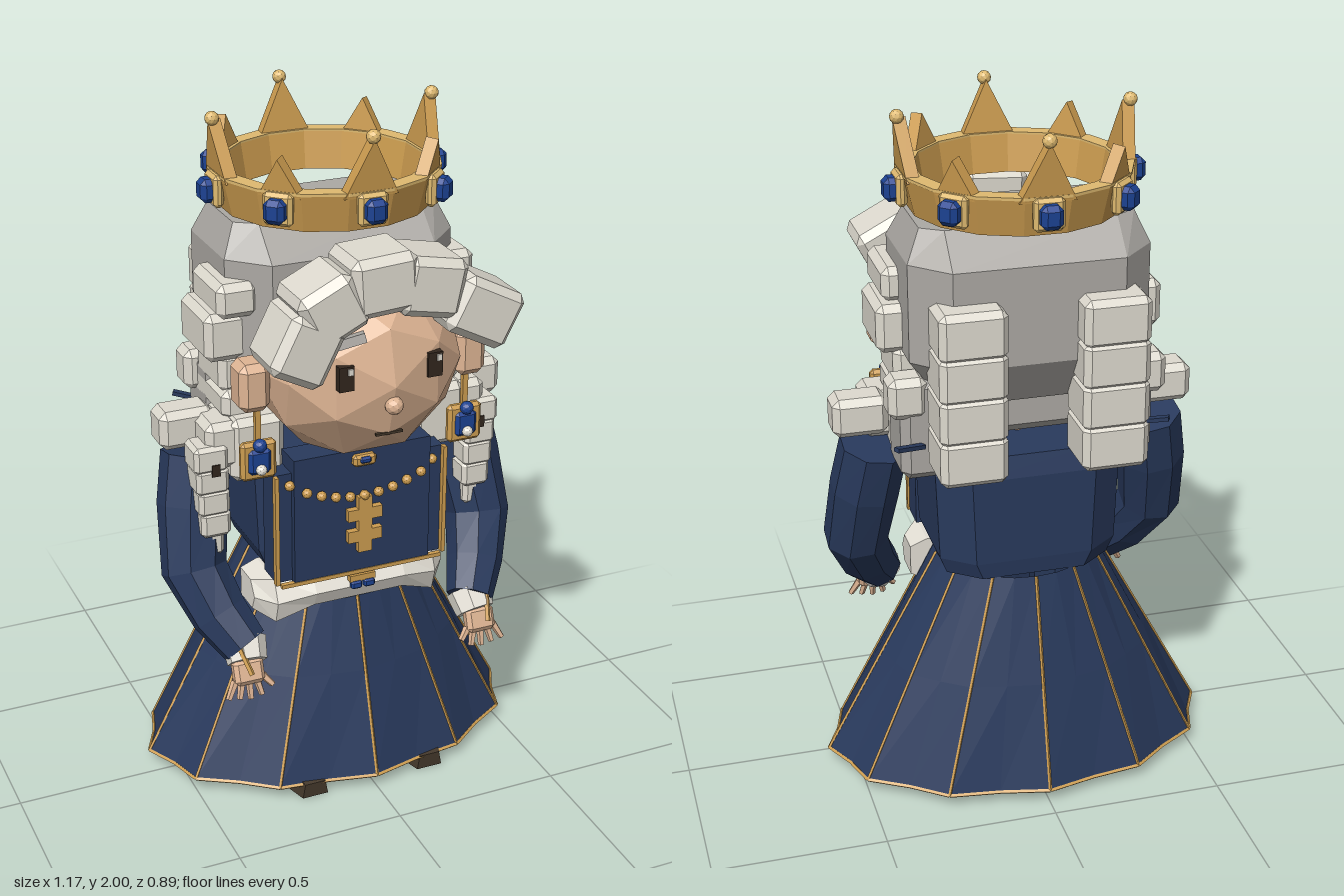
import * as THREE from 'three';
import { ConvexGeometry } from 'three/addons/geometries/ConvexGeometry.js';

const V = (x, y, z) => new THREE.Vector3(x, y, z);

function material(name, color, side = THREE.FrontSide) {
  const m = new THREE.MeshStandardMaterial({ color, flatShading: true, side });
  m.name = name;
  return m;
}

// Surface through equal-sized loops, ordered along their direction of travel
function loft(rings, caps = true) {
  const n = rings[0].length, pos = [], idx = [];
  rings.forEach(r => r.forEach(p => pos.push(p.x, p.y, p.z)));
  for (let i = 0; i < rings.length - 1; i++) for (let j = 0; j < n; j++) {
    const a = i * n + j, b = i * n + (j + 1) % n;
    idx.push(a, b, b + n, a, b + n, a + n);
  }
  if (caps) for (let j = 1; j < n - 1; j++) {
    const e = (rings.length - 1) * n;
    idx.push(0, j + 1, j, e, e + j, e + j + 1);
  }
  const g = new THREE.BufferGeometry();
  g.setAttribute('position', new THREE.Float32BufferAttribute(pos, 3));
  g.setIndex(idx);
  g.computeVertexNormals();
  return g;
}

// Faceted limb: points are [x, y, z, radius], listed upward
function limb(points, sides = 8) {
  const c = points.map(p => V(p[0], p[1], p[2]));
  return loft(points.map((p, i) => {
    const t = c[Math.min(i + 1, c.length - 1)].clone().sub(c[Math.max(i - 1, 0)]).normalize();
    const q = new THREE.Quaternion().setFromUnitVectors(V(0, 1, 0), t);
    return Array.from({ length: sides }, (_, j) => {
      const a = (j + 0.5) / sides * Math.PI * 2;
      return V(Math.sin(a) * p[3], 0, Math.cos(a) * p[3]).applyQuaternion(q).add(c[i]);
    });
  }));
}

// Box with chamfered edges and corners
function chamferBox(w, h, d, r) {
  const pts = [];
  for (const sx of [-1, 1]) for (const sy of [-1, 1]) for (const sz of [-1, 1]) {
    const x = w / 2, y = h / 2, z = d / 2;
    pts.push(V(sx * x, sy * (y - r), sz * (z - r)), V(sx * (x - r), sy * y, sz * (z - r)),
      V(sx * (x - r), sy * (y - r), sz * z));
  }
  return new ConvexGeometry(pts);
}

// Horizontal eight-sided loop with cut corners
const cutRect = (y, w, front, back, cx, cz) => [[w - cx, front], [w, front - cz], [w, back + cz],
  [w - cx, back], [cx - w, back], [-w, back + cz], [-w, front - cz], [cx - w, front]].map(([x, z]) => V(x, y, z));

export function createModel() {
  const model = new THREE.Group();
  const navy = material('navy cloth', 0x293a5d, THREE.DoubleSide);
  const gold = material('gold', 0xcd9d50);
  const paleGold = material('pale gold', 0xdfba70);
  const hair = material('pale hair', 0xdedacf);
  const grey = material('grey hair', 0xaca9a4);
  const skin = material('skin', 0xdfb594);
  const blue = material('blue gem', 0x1c4292);
  const white = material('white linen', 0xe4e0d6, THREE.DoubleSide);
  const brown = material('brown leather', 0x43372a);
  const dark = material('dark eye', 0x32261d);

  const add = (name, geo, mat, x = 0, y = 0, z = 0, parent = model) => {
    const m = new THREE.Mesh(geo, mat);
    m.name = name;
    m.position.set(x, y, z);
    parent.add(m);
    return m;
  };
  const box = (name, mat, w, h, d, x, y, z, parent) =>
    add(name, new THREE.BoxGeometry(w, h, d), mat, x, y, z, parent);
  const block = (name, mat, w, h, d, x, y, z, r = 0.02, parent) =>
    add(name, chamferBox(w, h, d, r), mat, x, y, z, parent);
  const ball = (name, mat, r, x, y, z, parent) =>
    add(name, new THREE.IcosahedronGeometry(r, 1), mat, x, y, z, parent);
  const rod = (name, mat, a, b, r) =>
    add(name, new THREE.TubeGeometry(new THREE.LineCurve3(a, b), 1, r, 4), mat);

  // Skirt with twelve ribs, the cloth dipping in between
  const skirtPoint = (k, t) => {
    const a = k / 24 * Math.PI * 2, f = k % 2 ? 1 - 0.05 * (1 - t) : 1;
    return V(Math.sin(a) * (0.58 - 0.34 * t) * f, 0.04 + 0.63 * t,
      -0.052 - 0.01 * t + Math.cos(a) * (0.392 - 0.17 * t) * f);
  };
  const ring = t => Array.from({ length: 24 }, (_, k) => skirtPoint(k, t));
  add('skirt', loft([0, 0.5, 1].map(ring), false), navy);
  for (let k = 0; k < 24; k++) {
    if (k % 2 === 0) rod('skirtRib', gold, skirtPoint(k, 0), skirtPoint(k, 1), 0.005);
    rod('skirtHem', gold, skirtPoint(k, 0), skirtPoint(k + 1, 0), 0.006);
  }

  // Torso and front panel
  add('torso', loft([[0.67, 0.24, -0.26], [0.72, 0.26, -0.265], [0.98, 0.27, -0.265], [1.045, 0.25, -0.25]]
    .map(([y, w, back]) => cutRect(y, w, 0.14, back, 0.09, 0.07))), navy);
  box('bodicePanel', navy, 0.42, 0.39, 0.09, 0, 0.87, 0.175);
  box('bodiceHem', gold, 0.5, 0.012, 0.015, 0, 0.675, 0.215);
  add('neck', new THREE.CylinderGeometry(0.1, 0.12, 0.2, 8), skin, 0, 1.07, 0.02);

  // Drooping sash with a jewelled clasp
  const sash = [[-0.3, 0.65, 0.56, 0.13], [-0.25, 0.67, 0.535, 0.19], [-0.14, 0.67, 0.58, 0.215],
    [0.14, 0.67, 0.58, 0.215], [0.25, 0.67, 0.535, 0.19], [0.3, 0.65, 0.56, 0.13]];
  add('sash', loft(sash.map(([x, top, low, z]) =>
    [V(x, low, 0.02), V(x, top, 0.02), V(x, top, z - 0.03), V(x, (top + low) / 2, z), V(x, low, z - 0.02)])), white);
  box('sashClasp', gold, 0.08, 0.02, 0.02, 0, 0.655, 0.215);
  for (const s of [-1, 1]) {
    box('bodiceSide', navy, 0.05, 0.34, 0.09, s * 0.235, 0.85, 0.155);
    box('bodiceTrim', gold, 0.012, 0.34, 0.02, s * 0.26, 0.85, 0.208);
    block('sashGem', blue, 0.034, 0.024, 0.02, s * 0.02, 0.635, 0.222, 0.005);
  }

  // Cross pendant, necklace and collar brooch
  box('crossStem', gold, 0.042, 0.175, 0.02, 0, 0.835, 0.23);
  for (const y of [0.8, 0.868]) box('crossArm', gold, 0.105, 0.036, 0.02, 0, y, 0.23);
  for (let i = -5; i <= 5; i++)
    ball('necklaceBead', gold, 0.015, i * 0.044, 0.925 + 0.0025 * i * i, 0.232 - Math.max(0, Math.abs(i) - 4) * 0.02);
  block('collarBrooch', gold, 0.07, 0.035, 0.03, 0, 1.035, 0.225, 0.008);
  block('broochGem', blue, 0.036, 0.02, 0.03, 0, 1.038, 0.23, 0.006);

  // Face
  const face = add('face', new THREE.IcosahedronGeometry(1, 1), skin, 0, 1.335, 0.16);
  face.scale.set(0.3, 0.29, 0.268);
  ball('nose', skin, 0.026, 0, 1.28, 0.418);
  box('mouth', brown, 0.08, 0.007, 0.009, 0, 1.187, 0.387);
  box('eyebrow', grey, 0.13, 0.026, 0.05, -0.13, 1.46, 0.362).rotation.set(-0.2, -0.3, 0.2);
  for (const s of [-1, 1]) {
    box('eye', dark, 0.043, 0.07, 0.03, s * 0.13, 1.37, 0.385);
    box('eyeGlint', white, 0.014, 0.018, 0.006, s * 0.13 + 0.01, 1.39, 0.402);
    block('ear', skin, 0.09, 0.14, 0.1, s * 0.325, 1.31, 0.195, 0.02);
    // Earring
    box('earringChain', gold, 0.016, 0.11, 0.016, s * 0.315, 1.19, 0.215);
    block('earringPlate', gold, 0.105, 0.115, 0.03, s * 0.315, 1.09, 0.215, 0.01);
    block('earringGem', blue, 0.066, 0.075, 0.03, s * 0.315, 1.09, 0.225, 0.01);
    ball('earringPearl', white, 0.016, s * 0.315, 1.07, 0.243);
    ball('earringTopGem', blue, 0.02, s * 0.315, 1.14, 0.235);
  }

  // Hair cap and nape
  add('hairCap', loft([cutRect(1.2, 0.24, 0.06, -0.22, 0.08, 0.06), cutRect(1.34, 0.34, 0.155, -0.31, 0.1, 0.1),
    cutRect(1.62, 0.34, 0.155, -0.31, 0.1, 0.1), cutRect(1.71, 0.3, 0.06, -0.22, 0.06, 0.04)]), grey);
  block('napeHair', grey, 0.34, 0.2, 0.16, 0, 1.18, -0.11, 0.03);

  // Curls across the brow
  for (const [x, y, w, tilt] of [[-0.25, 1.475, 0.18, 1.1], [-0.175, 1.575, 0.17, 0.45],
    [-0.03, 1.627, 0.19, 0.06], [0.11, 1.6, 0.18, -0.2], [0.265, 1.505, 0.2, -0.48]])
    block('browCurl', hair, w, 0.165, 0.19, x, y, 0.345, 0.022).rotation.z = tilt;

  // Side curls, back curls and shoulder ringlets
  const sideCurls = [[0.325, 1.52, 0.015, 0.12, 0.1, 0.22], [0.345, 1.405, -0.02, 0.13, 0.14, 0.22],
    [0.305, 1.29, -0.03, 0.12, 0.12, 0.2], [0.3, 1.2, -0.03, 0.13, 0.09, 0.24],
    [0.28, 1.08, 0.03, 0.16, 0.19, 0.22], [0.45, 1.125, -0.02, 0.16, 0.115, 0.11],
    [0.38, 1.1, 0.06, 0.1, 0.14, 0.14], [0.345, 1.23, -0.17, 0.11, 0.12, 0.1]];
  for (const s of [-1, 1]) {
    for (const [x, y, z, w, h, d] of sideCurls) block('sideCurl', hair, w, h, d, s * x, y, z, 0.02);
    block('napeSide', grey, 0.15, 0.3, 0.18, s * 0.29, 1.13, -0.12, 0.024);
    for (let i = 0; i < 4; i++)
      block('backCurl', hair, 0.19, 0.14, 0.175, s * 0.2, 1.46 - i * 0.121, -0.297, 0.018);
    for (let i = 0; i < 5; i++) {
      const w = i < 4 ? 0.1 - i * 0.004 : 0.05;
      block('ringlet', hair, w, 0.08, w, s * (0.42 - i * 0.004), 1.07 - i * 0.068, 0.09, 0.012);
    }
    box('ringletClip', dark, 0.024, 0.035, 0.008, s * 0.41, 1.04, 0.14);
    box('hairRibbon', navy, 0.1, 0.012, 0.02, s * 0.35, 1.1, -0.24).rotation.set(0, s * 0.5, s * 0.2);
  }

  // Arms, hands, legs and shoes
  for (const s of [-1, 1]) {
    add('sleeve', limb([[s * 0.36, 0.5, 0.205, 0.07], [s * 0.41, 0.58, 0.135, 0.084],
      [s * 0.455, 0.7, 0.055, 0.096], [s * 0.435, 0.88, 0, 0.102], [s * 0.41, 1.025, -0.03, 0.1]]), navy);
    add('cuff', limb([[s * 0.365, 0.465, 0.235, 0.058], [s * 0.36, 0.515, 0.19, 0.066]]), white);
    rod('sleeveTrim', gold, V(s * 0.375, 0.46, 0.3), V(s * 0.43, 0.66, 0.15), 0.008);
    block('palm', skin, 0.09, 0.075, 0.045, s * 0.37, 0.445, 0.25, 0.012).rotation.x = -0.35;
    for (let i = -2; i <= 2; i++) {
      const x = 0.37 + i * 0.021, low = i === -2 ? 0.395 : 0.365 + 0.006 * Math.abs(i);
      add('finger', limb([[s * (x + i * 0.013), low, 0.272, 0.009],
        [s * x, 0.425, 0.258, 0.012]], 5), skin);
    }
    add('leg', limb([[s * 0.17, 0.06, -0.01, 0.065], [s * 0.14, 0.6, -0.04, 0.095]]), navy);
    const shoe = [[-0.06, 0.05, 0.1], [0.02, 0.072, 0.12], [0.2, 0.072, 0.075], [0.31, 0.04, 0.045]];
    add('shoe', loft(shoe.map(([z, w, h]) => [V(-w, 0, z), V(w, 0, z), V(w * 0.8, h, z), V(-w * 0.8, h, z)])),
      brown, s * 0.187);
  }

  // Crown: flared band with a pale rim, spikes and gems
  const crown = new THREE.Group();
  crown.name = 'crown';
  crown.position.z = -0.055;
  model.add(crown);
  const lathe = (name, mat, profile) => add(name, new THREE.LatheGeometry(
    profile.map(([r, y]) => new THREE.Vector2(r, y)), 16, Math.PI / 16), mat, 0, 0, 0, crown);
  lathe('crownBand', gold, [[0.262, 1.72], [0.3, 1.72], [0.326, 1.826], [0.28, 1.826], [0.262, 1.72]]);
  lathe('crownRim', paleGold, [[0.28, 1.824], [0.327, 1.824], [0.327, 1.832], [0.28, 1.832], [0.28, 1.824]]);
  for (let k = 0; k < 8; k++) {
    const arm = new THREE.Group(), big = k % 2 === 0;
    arm.name = 'crownPoint';
    arm.rotation.y = k * Math.PI / 4;
    crown.add(arm);
    const w = big ? 0.078 : 0.06, h = big ? 0.16 : 0.105;
    const shape = new THREE.Shape([[-w, 0], [w, 0], [0, h]].map(p => new THREE.Vector2(...p)));
    const spike = add('crownSpike', new THREE.ExtrudeGeometry(shape, { depth: 0.036, bevelEnabled: false }),
      gold, 0, 1.82, 0.282, arm);
    spike.rotation.x = 0.12;
    if (big) ball('crownBead', paleGold, 0.02, 0, 1.98, 0.325, arm);
    block('gemSetting', paleGold, 0.085, 0.09, 0.03, 0, 1.785, 0.323, 0.01, arm);
    block('crownGem', blue, 0.06, 0.066, 0.05, 0, 1.785, 0.344, 0.014, arm);
  }
  return model;
}
